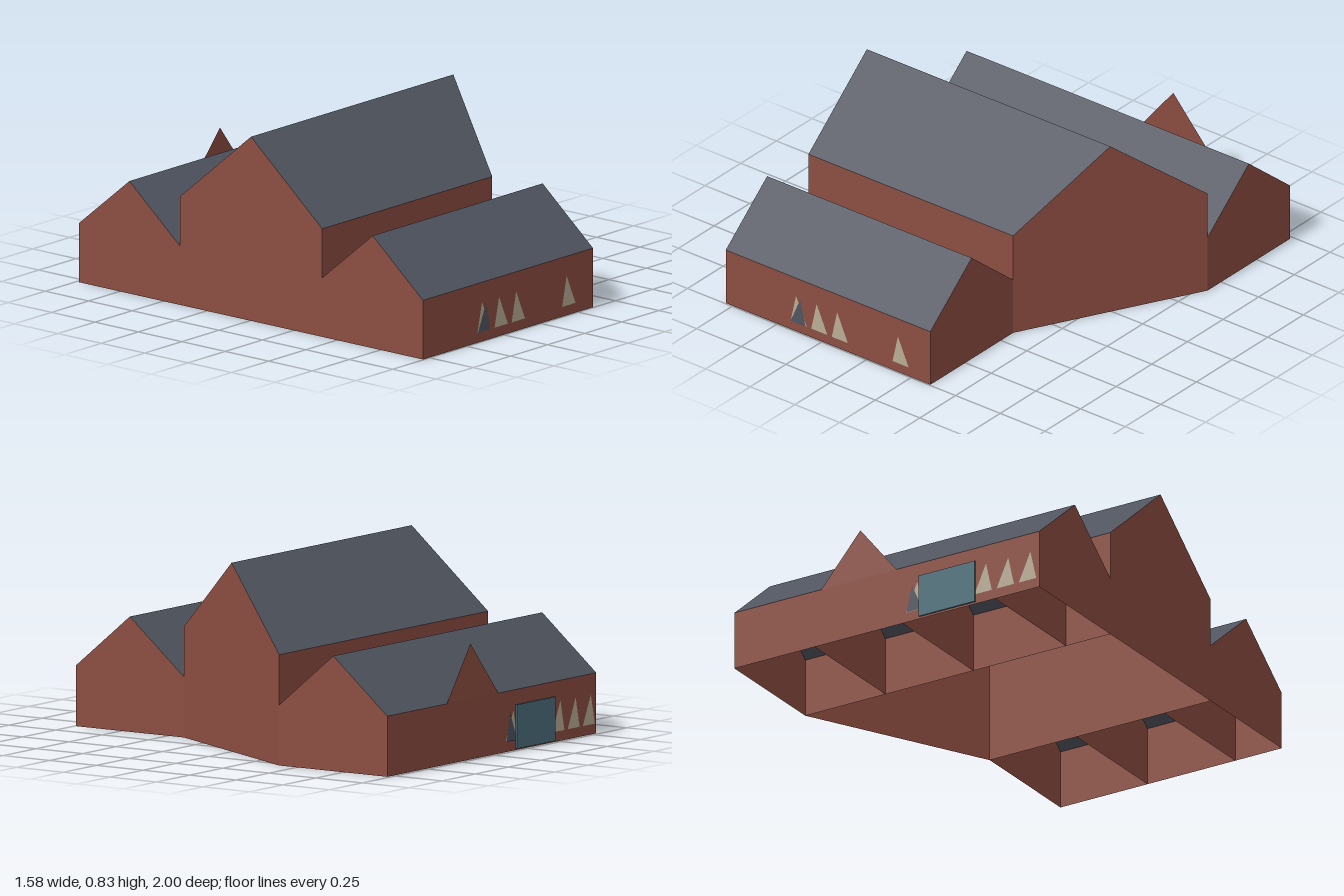
import * as THREE from 'three';

const material = (name, color) => {
  const m = new THREE.MeshStandardMaterial({ color, side: THREE.DoubleSide });
  m.name = name;
  return m;
};

// Flat convex panel from its corner points
function panel(name, mat, points) {
  const tris = [];
  for (let i = 1; i < points.length - 1; i++) tris.push(...points[0], ...points[i], ...points[i + 1]);
  const geo = new THREE.BufferGeometry();
  geo.setAttribute('position', new THREE.Float32BufferAttribute(tris, 3));
  geo.computeVertexNormals();
  const mesh = new THREE.Mesh(geo, mat);
  mesh.name = name;
  return mesh;
}

export function createModel() {
  const brick = material('brick', 0x8c4d40);
  const slate = material('slate', 0x50545f);
  const cream = material('cream', 0xb8ac94);
  const teal = material('teal', 0x4c6f7c);
  const model = new THREE.Group();
  model.name = 'building';

  const LEFT = -0.79, FRONT = 0.995, BACK = -0.985, MID_FRONT = 0.415, MID_BACK = -0.405;
  const slant = z => 0.79 - (MID_BACK - z) / (MID_BACK - MID_FRONT) * 0.435;

  // One open-bottomed hall: pentagonal ends, long walls, pitched roof, cross walls
  function hall(name, { back, ridgeZ, front, eave, ridge, endX, walls, partitions = [] }) {
    const g = new THREE.Group();
    g.name = name;
    const gable = x => [
      [x(front), 0, front], [x(back), 0, back], [x(back), eave, back],
      [x(ridgeZ), ridge, ridgeZ], [x(front), eave, front],
    ];
    g.add(panel('rightEndWall', brick, gable(endX)));
    g.add(panel('leftEndWall', brick, gable(() => LEFT).reverse()));
    for (const x of partitions) g.add(panel('partition', brick, gable(() => x)));
    for (const z of walls) {
      const w = [[LEFT, 0, z], [endX(z), 0, z], [endX(z), eave, z], [LEFT, eave, z]];
      g.add(panel('longWall', brick, z > ridgeZ ? w : w.reverse()));
    }
    for (const z of [front, back]) {
      const r = [[LEFT, eave, z], [endX(z), eave, z], [endX(ridgeZ), ridge, ridgeZ], [LEFT, ridge, ridgeZ]];
      g.add(panel('roofSlope', slate, z > ridgeZ ? r : r.reverse()));
    }
    model.add(g);
  }

  hall('mainHall', {
    back: MID_BACK, ridgeZ: 0.005, front: MID_FRONT, eave: 0.49, ridge: 0.835,
    endX: slant, walls: [MID_FRONT, MID_BACK],
  });
  hall('frontWing', {
    back: MID_FRONT, ridgeZ: 0.705, front: FRONT, eave: 0.268, ridge: 0.51,
    endX: () => 0.355, walls: [FRONT], partitions: [-0.095, -0.55],
  });
  hall('backWing', {
    back: BACK, ridgeZ: -0.695, front: MID_BACK, eave: 0.268, ridge: 0.51,
    endX: () => 0.79, walls: [BACK], partitions: [0.375, -0.08, -0.56],
  });

  // Freestanding gable above the back eave
  model.add(panel('backGable', brick, [[0.34, 0.268, BACK], [-0.05, 0.268, BACK], [0.145, 0.51, -0.973]]));

  // Triangular windows, the apex set slightly off centre
  function triangleWindow(name, mat, x, z, side, width = 0.09, top = 0.18, lean = -0.015) {
    const h = side * width / 2;
    model.add(panel(name, mat, [[x - h, 0.045, z], [x + h, 0.045, z], [x + lean, top, z]]));
  }
  const fz = FRONT + 0.002, bz = BACK - 0.003;
  for (const x of [-0.38, -0.265, -0.15, 0.19]) triangleWindow('frontWindow', cream, x, fz, 1);
  triangleWindow('frontWindowShutter', slate, -0.382, fz + 0.002, 1, 0.084, 0.17, 0.012);
  for (const x of [-0.145, -0.5, -0.615, -0.73]) triangleWindow('backWindow', cream, x, bz, -1);
  triangleWindow('backWindowShutter', slate, -0.145, bz - 0.002, -1, 0.08, 0.17, 0.012);

  // Large door on the back wall
  const door = new THREE.Mesh(new THREE.BoxGeometry(0.29, 0.195, 0.008), teal);
  door.name = 'backDoor';
  door.position.set(-0.318, 0.105, -0.994);
  model.add(door);

  return model;
}
